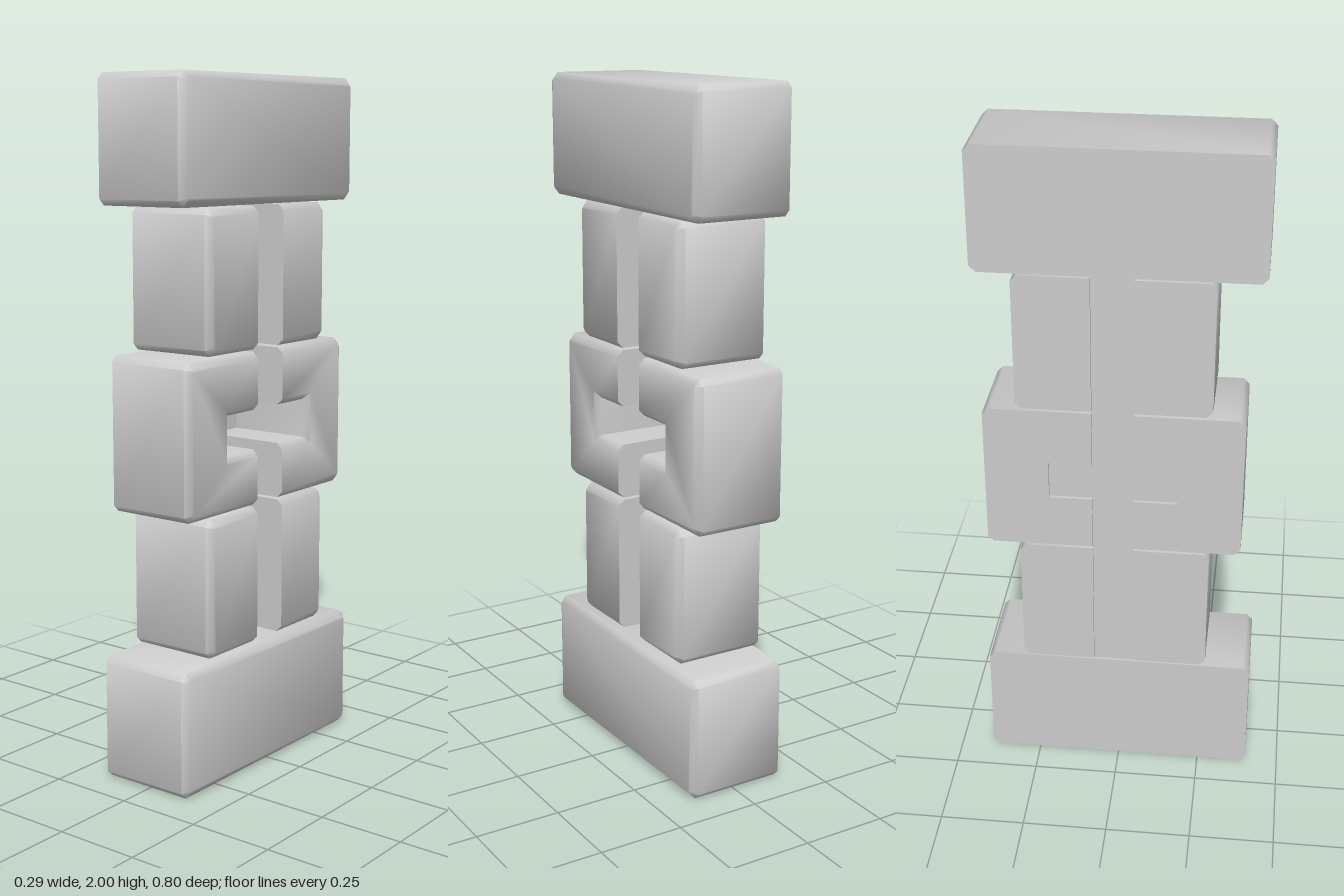
import * as THREE from 'three';
import { toCreasedNormals } from 'three/addons/utils/BufferGeometryUtils.js';

const BACK = -0.15, BEVEL = 0.018;
const SLIT = [-0.045, 0.075];   // slit edges, measured along -z
const ARMS = [-0.17, 0.2];      // crossbar tips, measured along -z
const BAR = [0.945, 1.06];      // crossbar heights
const material = new THREE.MeshStandardMaterial({ color: 0xcccccc });

// Stone with a flat back and bevelled front; the edge on the slit stays sharp.
// u runs along -z; notch is the depth position of the crossbar cut-out.
function stone(name, outer, inner, y0, y1, xMax, { sharp = true, notch = null } = {}) {
  const d = Math.sign(inner - outer) * BEVEL, c = BEVEL;
  const pts = [[inner, y0]];
  if (!sharp) pts.splice(0, 1, [inner, y0 + c], [inner - d, y0]);
  pts.push([outer + d, y0], [outer, y0 + c], [outer, y1 - c], [outer + d, y1]);
  if (sharp) pts.push([inner, y1]);
  else pts.push([inner - d, y1], [inner, y1 - c]);
  if (notch !== null) pts.push([inner, BAR[1]], [notch, BAR[1]], [notch, BAR[0]], [inner, BAR[0]]);

  const geo = new THREE.ExtrudeGeometry(new THREE.Shape(pts.map(p => new THREE.Vector2(...p))), {
    depth: xMax - BACK - BEVEL, bevelEnabled: true, bevelSegments: 1,
    bevelThickness: BEVEL, bevelSize: BEVEL, bevelOffset: -BEVEL,
  });
  const pos = geo.attributes.position;
  for (let i = 0; i < pos.count; i++) {
    if (pos.getZ(i) < 0) pos.setZ(i, 0);
    if (sharp && Math.abs(pos.getX(i) - inner) < BEVEL * 1.1) pos.setX(i, inner);
  }
  geo.rotateY(Math.PI / 2).translate(BACK, 0, 0);
  const mesh = new THREE.Mesh(toCreasedNormals(geo, 0.95), material);
  mesh.name = name;
  return mesh;
}

export function createModel() {
  const group = new THREE.Group();
  group.name = 'arrowSlitWindow';

  // Lintel and sill
  group.add(stone('lintel', -0.4, 0.4, 1.645, 2, 0.145, { sharp: false }));
  group.add(stone('sill', -0.4, 0.4, 0, 0.365, 0.145, { sharp: false }));

  // Jamb stones on each side of the slit
  const sides = [
    { name: 'front', narrow: -0.265, wide: -0.357 },
    { name: 'rear', narrow: 0.29, wide: 0.385 },
  ];
  sides.forEach((s, i) => {
    group.add(stone(s.name + 'LowerJamb', s.narrow, SLIT[i], 0.37, 0.775, 0.125));
    group.add(stone(s.name + 'MiddleJamb', s.wide, SLIT[i], 0.782, 1.228, 0.125, { notch: ARMS[i] }));
    group.add(stone(s.name + 'UpperJamb', s.narrow, SLIT[i], 1.235, 1.64, 0.125));
  });

  // Thin cross-shaped panel closing the slit near the back
  const cross = new THREE.Shape([
    [SLIT[0], 0.36], [SLIT[1], 0.36], [SLIT[1], BAR[0]], [ARMS[1], BAR[0]],
    [ARMS[1], BAR[1]], [SLIT[1], BAR[1]], [SLIT[1], 1.65], [SLIT[0], 1.65],
    [SLIT[0], BAR[1]], [ARMS[0], BAR[1]], [ARMS[0], BAR[0]], [SLIT[0], BAR[0]],
  ].map(p => new THREE.Vector2(...p)));
  const panel = new THREE.Mesh(
    new THREE.ShapeGeometry(cross).rotateY(Math.PI / 2).translate(BACK + 0.01, 0, 0),
    new THREE.MeshStandardMaterial({ color: 0xcccccc, side: THREE.DoubleSide }));
  panel.name = 'slitPanel';
  group.add(panel);

  return group;
}
